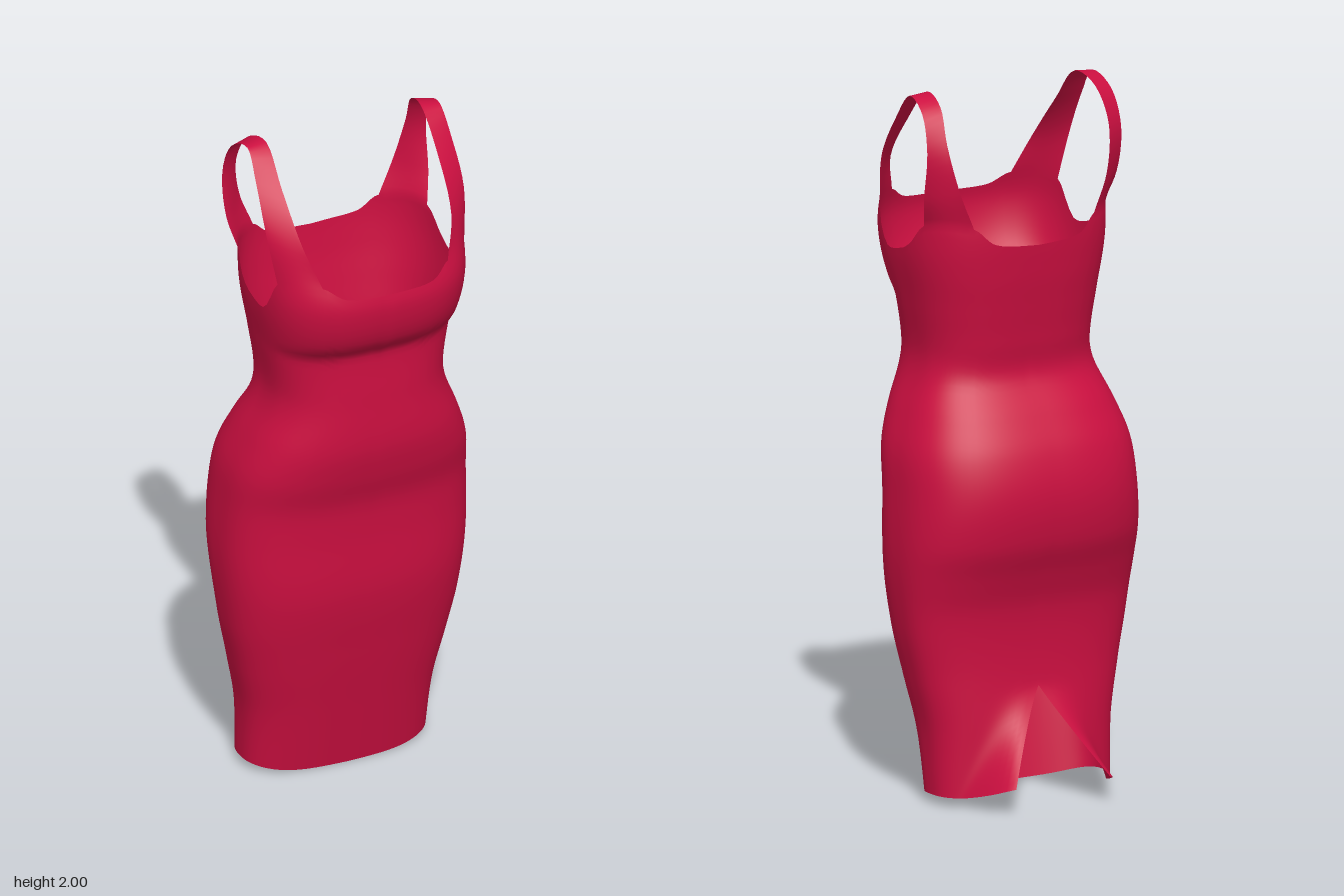
import * as THREE from 'three';
import { mergeGeometries, mergeVertices } from 'three/addons/utils/BufferGeometryUtils.js';

// Smooth interpolation through [position, value] knots
function smooth(knots) {
  const slope = i => {
    const a = knots[Math.max(i - 1, 0)], b = knots[Math.min(i + 1, knots.length - 1)];
    return (b[1] - a[1]) / (b[0] - a[0]);
  };
  return t => {
    if (t <= knots[0][0]) return knots[0][1];
    if (t >= knots[knots.length - 1][0]) return knots[knots.length - 1][1];
    let i = 0;
    while (t > knots[i + 1][0]) i++;
    const [x0, y0] = knots[i], [x1, y1] = knots[i + 1], h = x1 - x0, s = (t - x0) / h;
    const s2 = s * s, s3 = s2 * s;
    return (2 * s3 - 3 * s2 + 1) * y0 + (s3 - 2 * s2 + s) * h * slope(i)
      + (3 * s2 - 2 * s3) * y1 + (s3 - s2) * h * slope(i + 1);
  };
}

// Body profiles by height: half width, front, back and the depth of the widest point
const halfWidth = smooth([[0, 0.275], [0.2, 0.285], [0.35, 0.315], [0.5, 0.345], [0.7, 0.365], [0.9, 0.357],
  [1.0, 0.345], [1.1, 0.31], [1.2, 0.268], [1.27, 0.257], [1.4, 0.275], [1.55, 0.3], [1.7, 0.302]]);
const frontZ = smooth([[0, 0.04], [0.2, 0.085], [0.4, 0.13], [0.6, 0.17], [0.8, 0.18], [0.9, 0.19], [1.0, 0.22],
  [1.1, 0.24], [1.25, 0.24], [1.38, 0.238], [1.41, 0.245], [1.44, 0.28], [1.5, 0.31], [1.58, 0.325], [1.63, 0.318], [1.7, 0.29]]);
const backZ = smooth([[0, -0.2], [0.2, -0.2], [0.4, -0.19], [0.55, -0.2], [0.65, -0.23], [0.75, -0.268], [0.88, -0.282],
  [1.0, -0.26], [1.1, -0.21], [1.2, -0.152], [1.3, -0.16], [1.4, -0.175], [1.5, -0.19], [1.63, -0.2], [1.7, -0.185]]);
const middleZ = smooth([[0, -0.08], [0.4, -0.04], [0.8, -0.03], [1.2, 0.03], [1.6, 0.06]]);

// Edges by angle, from the centre back (0) round to the centre front (PI)
const BACK_IN = 0.57, BACK_OUT = 1.21, FRONT_OUT = 1.97, FRONT_IN = 2.576;
const rim = smooth([[0, 1.58], [0.35, 1.595], [BACK_IN, 1.64], [BACK_OUT, 1.64], [1.45, 1.575], [1.72, 1.55],
  [FRONT_OUT, 1.65], [FRONT_IN, 1.66], [2.8, 1.627], [Math.PI, 1.62]]);
const hemBase = smooth([[0, 0.03], [1.5, 0.03], [2.5, 0.01], [Math.PI, 0.005]]);
const nearSlit = a => Math.exp(-((a / 0.2) ** 2));
const hem = a => hemBase(a) + 0.05 * nearSlit(a);

const SQUARE = 2.7, SLIT_TOP = 0.33;

function bodyPoint(a, y) {
  const w = halfWidth(y), mid = middleZ(y);
  // The back slit opens downwards and its corners flare out
  const open = Math.max(0, (SLIT_TOP - y) / 0.25);
  const edge = Math.asin((0.15 * open / w) ** (SQUARE / 2));
  const angle = edge + a * (Math.PI - edge) / Math.PI;
  const c = Math.cos(angle), s = Math.max(0, Math.sin(angle));
  const depth = c > 0 ? backZ(y) - mid : frontZ(y) - mid;
  const x = a === Math.PI ? 0 : w * s ** (2 / SQUARE);
  const z = mid + depth * Math.abs(c) ** (2 / SQUARE);
  return new THREE.Vector3(x, y, z - 0.135 * open ** 1.4 * nearSlit(a));
}

// Grid surface from columns of points; side -1 mirrors it
function gridSurface(columns, side) {
  const rows = columns[0].length, index = [];
  const points = columns.flat().map(p => new THREE.Vector3(p.x * side, p.y, p.z));
  for (let i = 0; i < columns.length - 1; i++) {
    for (let j = 0; j < rows - 1; j++) {
      const a = i * rows + j, b = a + rows;
      if (side > 0) index.push(a, a + 1, b, b, a + 1, b + 1);
      else index.push(a, b, a + 1, b, b + 1, a + 1);
    }
  }
  const geometry = new THREE.BufferGeometry().setFromPoints(points);
  geometry.setIndex(index);
  return geometry;
}

// Column angles, with the same count across the front and back strap roots
const STRAP_STEPS = 8, BODY_ROWS = 84;
const angles = [0];
[[BACK_IN, 14], [BACK_OUT, STRAP_STEPS], [FRONT_OUT, 12], [FRONT_IN, STRAP_STEPS], [Math.PI, 12]]
  .reduce((from, [to, n]) => {
    for (let k = 1; k <= n; k++) angles.push(k === n ? to : from + (to - from) * k / n);
    return to;
  }, 0);

function bodyColumns() {
  return angles.map(a => {
    const low = hem(a), high = rim(a);
    return Array.from({ length: BODY_ROWS + 1 }, (_, j) => bodyPoint(a, low + (high - low) * j / BODY_ROWS));
  });
}

// Strap edges over the shoulder, from front to back
const v = (x, y, z) => new THREE.Vector3(x, y, z);
const outerEdge = [v(0.302, 1.8, 0.145), v(0.298, 1.92, 0.075), v(0.293, 1.995, 0.01),
  v(0.302, 1.96, -0.075), v(0.31, 1.86, -0.115), v(0.308, 1.73, -0.095)];
const innerEdge = [v(0.226, 1.77, 0.225), v(0.237, 1.9, 0.115), v(0.236, 2.0, 0.01),
  v(0.247, 1.975, -0.08), v(0.258, 1.88, -0.135), v(0.235, 1.75, -0.165)];

function strapColumns() {
  const columns = [];
  for (let k = 0; k <= STRAP_STEPS; k++) {
    const f = k / STRAP_STEPS;
    const front = FRONT_OUT + (FRONT_IN - FRONT_OUT) * f;
    const back = BACK_OUT + (BACK_IN - BACK_OUT) * f;
    const path = new THREE.CatmullRomCurve3([
      bodyPoint(front, rim(front)),
      ...outerEdge.map((p, i) => p.clone().lerp(innerEdge[i], f)),
      bodyPoint(back, rim(back)),
    ]);
    columns.push(path.getPoints(35));
  }
  return columns;
}

export function createModel() {
  const group = new THREE.Group();
  group.name = 'dress';
  const crimson = new THREE.MeshStandardMaterial({ color: 0xcc0f40, side: THREE.DoubleSide });
  crimson.name = 'crimson fabric';

  // Body and straps are welded so the cloth shades as one piece
  const body = bodyColumns(), strap = strapColumns();
  const pieces = [1, -1].flatMap(side => [gridSurface(body, side), gridSurface(strap, side)]);
  const cloth = mergeVertices(mergeGeometries(pieces), 1e-4);
  cloth.computeVertexNormals();
  const mesh = new THREE.Mesh(cloth, crimson);
  mesh.name = 'dressBodyAndStraps';
  group.add(mesh);
  return group;
}
